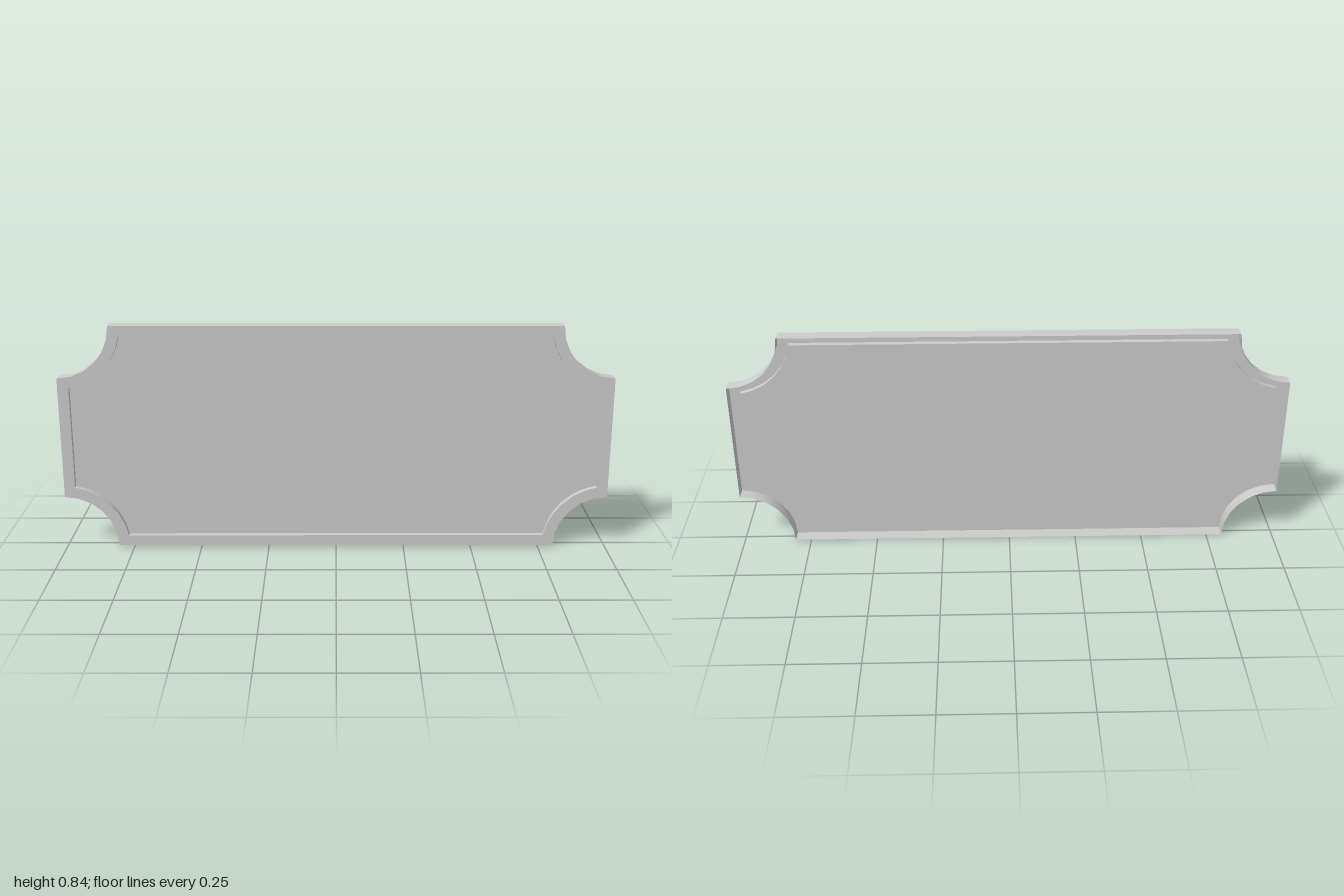
import * as THREE from 'three';
import { toCreasedNormals } from 'three/addons/utils/BufferGeometryUtils.js';

const W = 1, H = 0.418, NOTCH = 0.192, RIM = 0.04;
const FRONT = 0.025, BACK = -0.025, PANEL = 0.005;
const STEPS = 6;

// Counter-clockwise plaque outline with scooped corners, moved inward by inset
function outline(inset) {
  const r = NOTCH + inset, start = Math.asin(inset / r);
  const corner = [];
  for (let i = 0; i <= STEPS; i++) {
    const a = start + (Math.PI / 2 - 2 * start) * i / STEPS;
    corner.push([W - r * Math.sin(a), H - r * Math.cos(a)]);
  }
  const points = [];
  for (const [sx, sy] of [[1, 1], [-1, 1], [-1, -1], [1, -1]]) {
    const side = sx * sy > 0 ? corner : [...corner].reverse();
    for (const [x, y] of side) points.push(new THREE.Vector2(x * sx, y * sy + H));
  }
  return points;
}

// Closed strip between two loops of equal length
function strip(a, za, b, zb) {
  const pos = [];
  for (let i = 0; i < a.length; i++) {
    const j = (i + 1) % a.length;
    const [p, q, r, s] = [[a[i], za], [b[i], zb], [a[j], za], [b[j], zb]];
    for (const [v, z] of [p, q, r, r, q, s]) pos.push(v.x, v.y, z);
  }
  const geometry = new THREE.BufferGeometry();
  geometry.setAttribute('position', new THREE.Float32BufferAttribute(pos, 3));
  geometry.computeVertexNormals();
  return toCreasedNormals(geometry, 0.6);
}

export function createModel() {
  const group = new THREE.Group();
  group.name = 'plaque';
  const material = new THREE.MeshStandardMaterial({ color: 0xcccccc, side: THREE.DoubleSide });
  const add = (name, geometry) => {
    const mesh = new THREE.Mesh(geometry, material);
    mesh.name = name;
    group.add(mesh);
    return mesh;
  };
  const outer = outline(0), inner = outline(RIM);

  // Thin pressed shell, open at the back
  add('outerWall', strip(outer, FRONT, outer, BACK));
  add('rim', strip(inner, FRONT, outer, FRONT));
  add('recessWall', strip(inner, PANEL, inner, FRONT));
  add('panel', new THREE.ShapeGeometry(new THREE.Shape(inner))).position.z = PANEL;
  return group;
}
